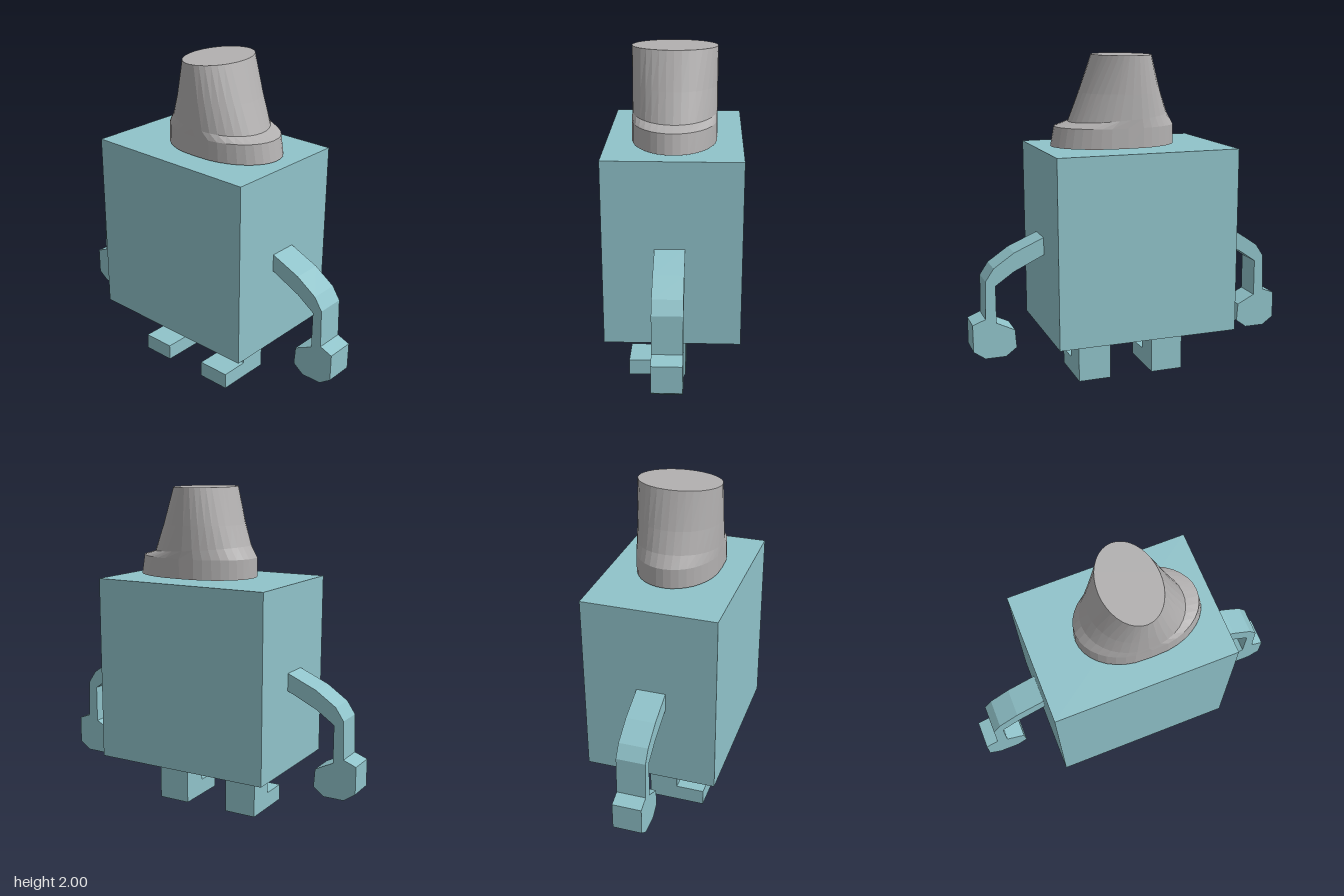
import * as THREE from 'three';

const teal = new THREE.MeshStandardMaterial({ color: 0x90c3ca });
teal.name = 'teal';
const grey = new THREE.MeshStandardMaterial({ color: 0xb2b0b0, flatShading: true });
grey.name = 'grey';

const MID = -0.003; // mirror plane of the body
const BACK = -0.075, FRONT = 0.1; // depth of the limbs

function box(name, x0, x1, y0, y1, z0, z1) {
  const mesh = new THREE.Mesh(new THREE.BoxGeometry(x1 - x0, y1 - y0, z1 - z0), teal);
  mesh.position.set((x0 + x1) / 2, (y0 + y1) / 2, (z0 + z1) / 2);
  mesh.name = name;
  return mesh;
}

// Flat arm and hand silhouette, extruded through the limb depth
function arm(side) {
  const outline = [
    [0.55, 0.94], [0.735, 0.86], [0.86, 0.775], [0.91, 0.7], [0.917, 0.47],
    [0.995, 0.44], [0.995, 0.275], [0.925, 0.225], [0.8, 0.225], [0.733, 0.275],
    [0.741, 0.385], [0.852, 0.44], [0.852, 0.668], [0.74, 0.745], [0.55, 0.835],
  ].map(([x, y]) => new THREE.Vector2(MID + side * x, y));
  const geo = new THREE.ExtrudeGeometry(new THREE.Shape(outline), { depth: FRONT - BACK, bevelEnabled: false });
  geo.translate(0, 0, BACK);
  const mesh = new THREE.Mesh(geo, teal);
  mesh.name = side > 0 ? 'leftArm' : 'rightArm';
  return mesh;
}

// L-shaped leg with the foot pointing forward
function leg(side) {
  const shape = new THREE.Shape([
    [FRONT, 0.34], [FRONT, 0.1], [0.273, 0.1], [0.273, 0], [BACK, 0], [BACK, 0.34],
  ].map(([z, y]) => new THREE.Vector2(-z, y)));
  const width = 0.204;
  const geo = new THREE.ExtrudeGeometry(shape, { depth: width, bevelEnabled: false });
  geo.translate(0, 0, -width / 2);
  geo.rotateY(Math.PI / 2);
  const mesh = new THREE.Mesh(geo, teal);
  mesh.position.x = MID / 2 + side * 0.241;
  mesh.name = side > 0 ? 'leftLeg' : 'rightLeg';
  return mesh;
}

// Hat lofted from ovals of constant depth: each end is half an ellipse
function hat() {
  const sides = 36, depth = 0.25;
  // left x, left centre, right centre, right x, left height, right height
  const rings = [
    [-0.285, 0.04, 0.12, 0.475, 1.468, 1.468],
    [-0.283, 0.04, 0.12, 0.452, 1.585, 1.585],
    [-0.24, 0.04, 0.08, 0.365, 1.655, 1.61],
    [-0.195, 0.04, 0.06, 0.295, 1.78, 1.78],
    [-0.132, 0.04, 0.04, 0.21, 2, 2],
  ];
  const pos = [], index = [];
  for (const [xl, cl, cr, xr, yl, yr] of rings) {
    for (let i = 0; i < sides; i++) {
      const a = (i / sides) * Math.PI * 2, c = Math.cos(a);
      const x = Math.abs(c) < 1e-6 ? (cl + cr) / 2 : c > 0 ? cr + c * (xr - cr) : cl + c * (cl - xl);
      pos.push(x, yl + (yr - yl) * (c + 1) / 2, Math.sin(a) * depth);
    }
  }
  for (let r = 0; r < rings.length - 1; r++) {
    for (let i = 0; i < sides; i++) {
      const j = (i + 1) % sides;
      const a = r * sides + i, b = r * sides + j;
      index.push(a, a + sides, b, b, a + sides, b + sides);
    }
  }
  // Bottom and top caps
  const last = (rings.length - 1) * sides;
  for (let i = 1; i < sides - 1; i++) {
    index.push(0, i, i + 1, last, last + i + 1, last + i);
  }
  const geo = new THREE.BufferGeometry();
  geo.setAttribute('position', new THREE.Float32BufferAttribute(pos, 3));
  geo.setIndex(index);
  const flat = geo.toNonIndexed();
  flat.computeVertexNormals();
  const mesh = new THREE.Mesh(flat, grey);
  mesh.name = 'hat';
  return mesh;
}

export function createModel() {
  const model = new THREE.Group();
  model.name = 'boxFigure';
  model.add(box('body', -0.558, 0.552, 0.34, 1.457, -0.4, 0.4), hat());
  for (const side of [1, -1]) model.add(arm(side), leg(side));
  return model;
}
